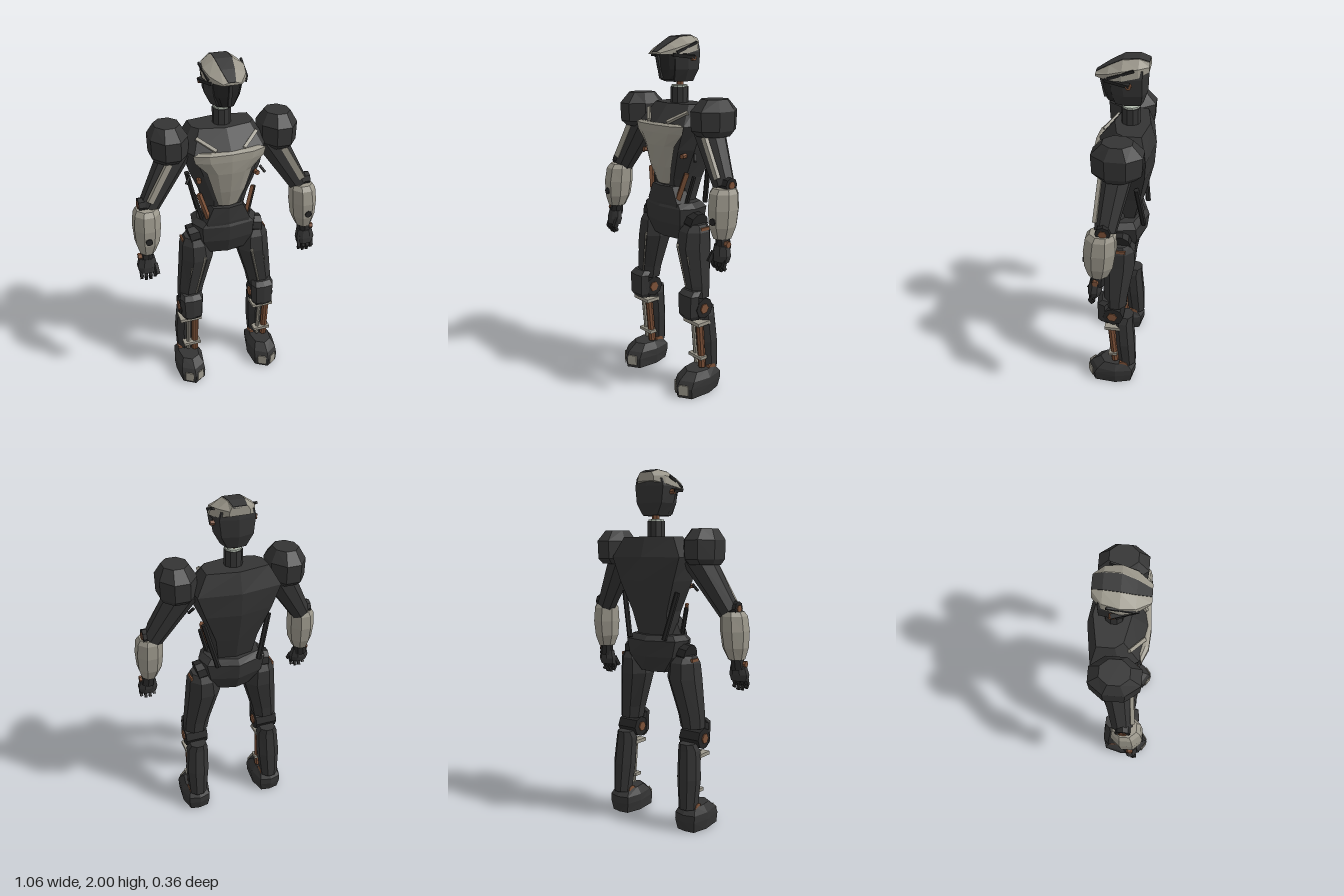
import * as THREE from 'three';

const paint = (name, color) => Object.assign(new THREE.MeshStandardMaterial({ color }), { name });
const V = (p) => new THREE.Vector3(...p);

export function createModel() {
  const dark = paint('charcoalArmour', 0x343434);
  const black = paint('blackFrame', 0x252525);
  const light = paint('bonePlate', 0x9b978b);
  const copper = paint('copper', 0x7c5138);
  const pale = paint('paleCollar', 0xb4bdb0);
  const model = new THREE.Group();
  model.name = 'robot';

  // faceted mesh
  const add = (parent, name, geo, mat) => {
    const g = geo.index ? geo.toNonIndexed() : geo;
    g.computeVertexNormals();
    const m = new THREE.Mesh(g, mat);
    m.name = name;
    parent.add(m);
    return m;
  };

  // solid through equal-count rings, counterclockwise around the loft direction
  const loft = (rings) => {
    const out = [];
    const tri = (...ps) => ps.forEach((p) => out.push(...p));
    const n = rings[0].length;
    for (let i = 0; i < rings.length - 1; i++) {
      for (let j = 0; j < n; j++) {
        const k = (j + 1) % n;
        const a = rings[i][j], b = rings[i][k], c = rings[i + 1][k], d = rings[i + 1][j];
        tri(a, b, c);
        tri(a, c, d);
      }
    }
    const first = rings[0], last = rings[rings.length - 1];
    for (let j = 1; j < n - 1; j++) {
      tri(first[0], first[j + 1], first[j]);
      tri(last[0], last[j], last[j + 1]);
    }
    const g = new THREE.BufferGeometry();
    g.setAttribute('position', new THREE.Float32BufferAttribute(out, 3));
    return g;
  };

  // horizontal ring from a half outline [x, z] running front centre to back centre
  const sym = (y, half, cx = 0) => [
    ...half.map(([x, z]) => [cx + x, y, z]),
    ...half.slice(1, -1).reverse().map(([x, z]) => [cx - x, y, z]),
  ];
  // horizontal eight-sided ring
  const oct = (y, cx, cz, rx, rz) => Array.from({ length: 8 }, (_, i) => {
    const a = (i + 0.5) * Math.PI / 4;
    return [cx + rx * Math.cos(a), y, cz - rz * Math.sin(a)];
  });
  const align = (g, a, b) => {
    const d = V(b).sub(V(a));
    g.applyQuaternion(new THREE.Quaternion().setFromUnitVectors(new THREE.Vector3(0, 1, 0), d.normalize()));
    return g.translate((a[0] + b[0]) / 2, (a[1] + b[1]) / 2, (a[2] + b[2]) / 2);
  };
  const rod = (a, b, r1, r2 = r1, n = 6) => align(new THREE.CylinderGeometry(r2, r1, V(a).distanceTo(V(b)), n), a, b);
  const strut = (a, b, w, d) => align(new THREE.BoxGeometry(w, V(a).distanceTo(V(b)), d), a, b);

  // mirrored copy of a baked group across x = 0
  const mirror = (group, name) => {
    const copy = new THREE.Group();
    copy.name = name;
    group.children.forEach((m) => {
      const p = m.geometry.attributes.position, out = [];
      for (let i = 0; i < p.count; i += 3) {
        for (const j of [i, i + 2, i + 1]) out.push(-p.getX(j), p.getY(j), p.getZ(j));
      }
      const g = new THREE.BufferGeometry();
      g.setAttribute('position', new THREE.Float32BufferAttribute(out, 3));
      add(copy, m.name, g, m.material);
    });
    model.add(copy);
  };
  const section = (name) => {
    const g = new THREE.Group();
    g.name = name;
    model.add(g);
    return g;
  };

  // torso
  const body = section('body');
  add(body, 'torso', loft([
    sym(1.1, [[0, 0.05], [0.07, 0.04], [0.1, 0], [0.1, -0.08], [0, -0.1]]),
    sym(1.23, [[0, 0.08], [0.08, 0.065], [0.125, 0.02], [0.12, -0.11], [0, -0.135]]),
    sym(1.4, [[0, 0.12], [0.14, 0.085], [0.2, 0.02], [0.185, -0.14], [0, -0.175]]),
    sym(1.53, [[0, 0.13], [0.19, 0.09], [0.235, 0], [0.23, -0.15], [0, -0.183]]),
    sym(1.64, [[0, 0.04], [0.14, 0.01], [0.17, -0.03], [0.17, -0.12], [0, -0.15]]),
  ]), dark);
  add(body, 'chestPlate', loft([
    [1.2, 0.055, 0.09, 0.07], [1.3, 0.09, 0.116, 0.092], [1.42, 0.125, 0.138, 0.1],
    [1.49, 0.19, 0.142, 0.1], [1.53, 0.2, 0.14, 0.1], [1.54, 0.17, 0.125, 0.095],
  ].map(([y, x, zf, ze]) => sym(y, [[0, zf], [x * 0.6, zf - 0.008], [x, ze], [0, 0.04]]))), light);
  add(body, 'abdomen', loft([
    sym(1.06, [[0, 0.095], [0.12, 0.08], [0.14, 0], [0, -0.1]]),
    sym(1.1, [[0, 0.1], [0.125, 0.08], [0.14, 0], [0, -0.1]]),
    sym(1.19, [[0, 0.098], [0.085, 0.08], [0.1, 0], [0, -0.09]]),
  ]), dark);
  add(body, 'pelvis', loft([
    sym(0.89, [[0, 0.07], [0.11, 0.05], [0.135, -0.02], [0.08, -0.08], [0, -0.1]]),
    sym(0.98, [[0, 0.1], [0.145, 0.075], [0.17, 0], [0.15, -0.1], [0, -0.145]]),
    sym(1.07, [[0, 0.105], [0.15, 0.08], [0.19, 0], [0.17, -0.1], [0, -0.155]]),
    sym(1.1, [[0, 0.09], [0.12, 0.07], [0.16, 0], [0.14, -0.08], [0, -0.13]]),
  ]), dark);
  add(body, 'neck', rod([0, 1.6, -0.045], [0, 1.725, -0.045], 0.05, 0.05, 10), dark);
  add(body, 'neckCollar', rod([0, 1.72, -0.045], [0, 1.735, -0.045], 0.045, 0.045, 10), pale);
  add(body, 'neckPost', rod([0, 1.7, -0.05], [0, 1.78, -0.05], 0.02), copper);

  // collar bands, side cables and back struts
  const flank = section('leftFlank');
  add(flank, 'collarBand', strut([0.165, 1.6, 0.038], [0.075, 1.545, 0.108], 0.022, 0.018), light);
  add(flank, 'sideCable', strut([0.155, 1.27, 0.035], [0.11, 1.12, 0.06], 0.025, 0.02), copper);
  add(flank, 'sideStrut', rod([0.175, 1.25, 0], [0.13, 1.08, 0.02], 0.013), black);
  add(flank, 'chestStud', rod([0.16, 1.37, 0.05], [0.165, 1.37, 0.082], 0.014), copper);
  add(flank, 'ribHook', rod([0.2, 1.38, 0.02], [0.225, 1.345, 0.04], 0.008), black);
  add(flank, 'backStrut', rod([0.185, 1.34, -0.1], [0.12, 1.08, -0.135], 0.015), black);
  mirror(flank, 'rightFlank');

  // head
  const head = section('head');
  add(head, 'skull', loft([
    sym(1.755, [[0, 0.04], [0.045, 0.03], [0.065, -0.03], [0.05, -0.1], [0, -0.11]]),
    sym(1.82, [[0, 0.06], [0.07, 0.045], [0.1, -0.02], [0.085, -0.11], [0, -0.132]]),
    sym(1.91, [[0, 0.07], [0.08, 0.05], [0.112, -0.01], [0.095, -0.11], [0, -0.135]]),
    sym(1.95, [[0, 0.05], [0.07, 0.03], [0.1, -0.02], [0.085, -0.11], [0, -0.13]]),
  ]), dark);
  add(head, 'faceMask', loft([
    sym(1.765, [[0, 0.08], [0.03, 0.065], [0.045, 0.02], [0, 0]]),
    sym(1.82, [[0, 0.098], [0.05, 0.07], [0.08, 0.02], [0, 0]]),
    sym(1.9, [[0, 0.108], [0.06, 0.08], [0.095, 0.02], [0, 0]]),
  ]), black);
  add(head, 'noseRidge', strut([0, 1.775, 0.085], [0, 1.895, 0.11], 0.018, 0.014), dark);
  const brow = [[-0.14, 0.055, 0.04, 1.935, 1.98], [-0.09, 0.1, 0.047, 1.92, 1.996], [-0.01, 0.115, 0.05, 1.905, 1.99],
    [0.06, 0.1, 0.04, 1.9, 1.955], [0.13, 0.05, 0.022, 1.9, 1.912]];
  add(head, 'helmetCap', loft(brow.map(([z, w, s, b, t]) => [
    [w, b, z], [w * 0.95, b + (t - b) * 0.55, z], [s, t, z], [-s, t, z], [-w * 0.95, b + (t - b) * 0.55, z], [-w, b, z],
  ])), light);
  add(head, 'helmetStripe', loft(brow.map(([z, , s, , t]) => [
    [s * 0.9, t - 0.008, z], [s * 0.9, t + 0.003, z], [-s * 0.9, t + 0.003, z], [-s * 0.9, t - 0.008, z],
  ])), dark);
  const temple = section('leftTemple');
  add(temple, 'templeBand', strut([0.085, 1.9, 0.075], [0.117, 1.885, -0.05], 0.022, 0.018), black);
  add(temple, 'earStud', rod([0.09, 1.88, -0.045], [0.123, 1.88, -0.045], 0.015), copper);
  add(temple, 'capSlit', strut([0.1, 1.91, 0.06], [0.112, 1.96, -0.07], 0.01, 0.014), black);
  mirror(temple, 'rightTemple');

  // arm
  const arm = section('leftArm');
  add(arm, 'shoulderPad', loft([
    oct(1.49, 0.305, -0.02, 0.085, 0.1), oct(1.52, 0.303, -0.02, 0.105, 0.135),
    oct(1.62, 0.303, -0.02, 0.107, 0.14), oct(1.68, 0.305, -0.02, 0.07, 0.08),
  ]), dark);
  add(arm, 'upperArm', rod([0.26, 1.53, -0.02], [0.435, 1.24, 0.025], 0.088, 0.058, 8), dark);
  add(arm, 'upperArmPlate', strut([0.32, 1.49, 0.062], [0.435, 1.29, 0.075], 0.034, 0.02), light);
  add(arm, 'elbow', rod([0.4, 1.26, 0.03], [0.492, 1.26, 0.03], 0.04, 0.04, 8), black);
  add(arm, 'elbowStud', rod([0.49, 1.26, 0.03], [0.497, 1.26, 0.03], 0.022), copper);
  add(arm, 'forearm', loft([
    oct(0.985, 0.465, 0.06, 0.045, 0.055), oct(1.05, 0.46, 0.055, 0.07, 0.08), oct(1.14, 0.457, 0.05, 0.078, 0.09),
    oct(1.22, 0.452, 0.045, 0.074, 0.082), oct(1.245, 0.45, 0.04, 0.06, 0.065),
  ]), light);
  add(arm, 'forearmPort', rod([0.463, 1.08, 0.12], [0.463, 1.08, 0.137], 0.02, 0.02, 8), black);
  add(arm, 'wrist', rod([0.465, 1.0, 0.06], [0.475, 0.93, 0.065], 0.036, 0.042, 8), black);
  add(arm, 'wristStud', rod([0.49, 0.96, 0.07], [0.521, 0.96, 0.07], 0.018), copper);
  add(arm, 'palm', loft([oct(0.865, 0.475, 0.08, 0.05, 0.034), oct(0.9, 0.475, 0.075, 0.058, 0.04),
    oct(0.95, 0.472, 0.07, 0.046, 0.036)]), dark);
  for (let i = 0; i < 4; i++) {
    const x = 0.437 + i * 0.025, tip = i % 3 ? 0.812 : 0.825;
    add(arm, 'finger', strut([x, 0.88, 0.085], [x, 0.84, 0.1], 0.018, 0.02), black);
    add(arm, 'fingertip', strut([x, 0.845, 0.1], [x, tip, 0.085], 0.015, 0.017), black);
  }
  add(arm, 'thumb', strut([0.43, 0.91, 0.09], [0.425, 0.855, 0.12], 0.018, 0.02), black);
  mirror(arm, 'rightArm');

  // leg
  const leg = section('leftLeg');
  add(leg, 'hipJoint', rod([0.13, 1, -0.01], [0.21, 0.985, -0.01], 0.065, 0.065, 10), black);
  add(leg, 'thigh', loft([
    oct(0.58, 0.22, 0.005, 0.072, 0.066), oct(0.65, 0.212, 0.005, 0.078, 0.073), oct(0.86, 0.17, -0.005, 0.1, 0.102),
    oct(0.95, 0.172, -0.01, 0.09, 0.092), oct(0.99, 0.18, -0.01, 0.06, 0.065),
  ]), dark);
  add(leg, 'hipStud', strut([0.245, 0.965, -0.05], [0.245, 0.965, 0.01], 0.012, 0.02), copper);
  add(leg, 'thighStripe', strut([0.14, 0.88, 0.088], [0.195, 0.63, 0.066], 0.013, 0.012), light);
  add(leg, 'thighStripe', strut([0.215, 0.82, 0.08], [0.24, 0.63, 0.058], 0.01, 0.012), light);
  add(leg, 'kneePad', loft([[0.455, 0.055, 0.095], [0.48, 0.065, 0.112], [0.6, 0.07, 0.112], [0.625, 0.06, 0.085]].map(
    ([y, x, z]) => sym(y, [[0, z], [x * 0.75, z - 0.006], [x, z - 0.05], [0, 0.02]], 0.222))), dark);
  add(leg, 'kneeJoint', rod([0.16, 0.52, 0.015], [0.29, 0.52, 0.015], 0.06, 0.06, 8), black);
  add(leg, 'kneeStud', rod([0.153, 0.52, 0.02], [0.297, 0.52, 0.02], 0.03), copper);
  add(leg, 'calf', loft([
    oct(0.13, 0.24, -0.065, 0.055, 0.055), oct(0.3, 0.235, -0.052, 0.07, 0.062), oct(0.46, 0.227, -0.04, 0.064, 0.06),
    oct(0.5, 0.225, -0.055, 0.05, 0.045),
  ]), dark);
  add(leg, 'ankle', rod([0.185, 0.13, -0.045], [0.295, 0.13, -0.045], 0.03, 0.03, 8), copper);
  add(leg, 'foot', loft([
    sym(0, [[0, 0.17], [0.07, 0.125], [0.08, 0], [0.055, -0.09], [0, -0.1]], 0.24),
    sym(0.06, [[0, 0.18], [0.073, 0.13], [0.088, 0], [0.065, -0.1], [0, -0.118]], 0.24),
    sym(0.1, [[0, 0.155], [0.07, 0.11], [0.087, 0], [0.065, -0.1], [0, -0.118]], 0.24),
    sym(0.14, [[0, 0.1], [0.05, 0.07], [0.06, 0], [0.05, -0.07], [0, -0.085]], 0.24),
  ]), dark);
  for (const s of [-1, 1]) {
    const toe = [[0.014, 0.02], [0.058, 0.02], [0.058, 0.08], [0.014, 0.085]];
    const ring = (off) => toe.map(([x, y]) => [0.24 + s * x, y, 0.178 - 0.67 * x + off]);
    const rings = [ring(0), ring(0.007)];
    add(leg, 'toePlate', loft(s > 0 ? rings : rings.map((r) => r.reverse())), light);
  }
  mirror(leg, 'rightLeg');

  // shin pistons, the same way round on both legs
  for (const cx of [-0.23, 0.23]) {
    const shin = section(cx > 0 ? 'leftShin' : 'rightShin');
    add(shin, 'paleRod', rod([cx - 0.012, 0.16, 0.012], [cx - 0.012, 0.44, 0.04], 0.012), light);
    add(shin, 'copperPiston', rod([cx + 0.033, 0.15, 0.006], [cx + 0.033, 0.43, 0.03], 0.022, 0.022, 8), copper);
    add(shin, 'upperClamp', new THREE.BoxGeometry(0.13, 0.02, 0.09).translate(cx, 0.428, 0.02), light);
    add(shin, 'lowerClamp', new THREE.BoxGeometry(0.105, 0.018, 0.05).translate(cx + 0.01, 0.215, 0.018), light);
  }
  return model;
}
